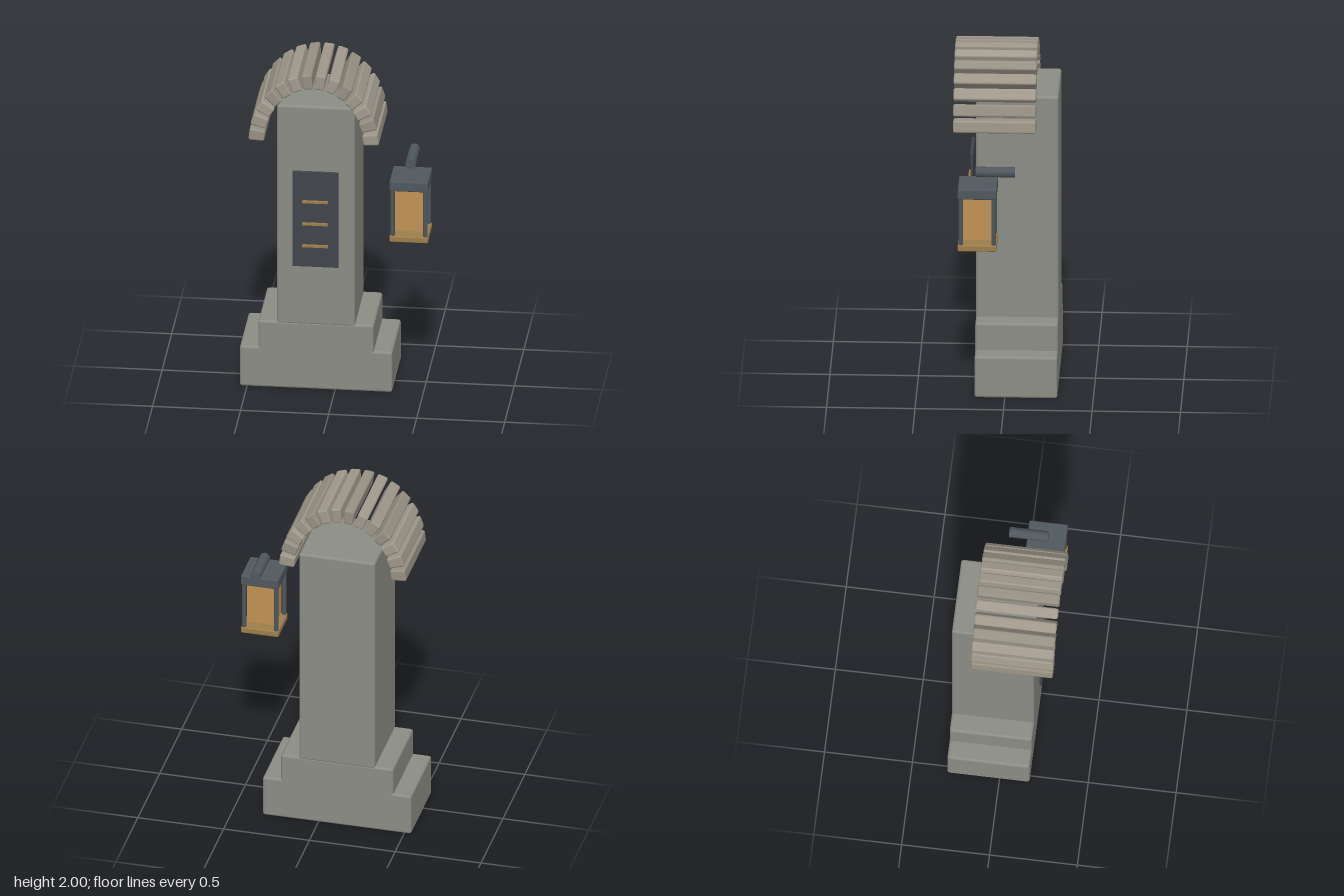
import * as THREE from 'three';
import { RoundedBoxGeometry } from 'three/addons/geometries/RoundedBoxGeometry.js';

const material = (color) => new THREE.MeshStandardMaterial({ color });

export function createModel() {
  const model = new THREE.Group();
  model.name = 'archedLanternPillar';
  const stone = material(0x8b8c84);
  const metal = material(0x50585e);
  const slate = material(0x41454c);
  const brass = material(0x9c7d4a);
  const glass = material(0xc09154);
  const archStones = [0x9d9689, 0x968f83, 0xa29a8e].map(material);

  function add(parent, name, geometry, mat, x, y, z) {
    const mesh = new THREE.Mesh(geometry, mat);
    mesh.name = name;
    mesh.position.set(x, y, z);
    parent.add(mesh);
    return mesh;
  }
  const block = (w, h, d, r) => new RoundedBoxGeometry(w, h, d, 2, r);

  // Stepped base and pillar share one centre line
  const cx = -0.108, cz = -0.063, depth = 0.468;
  add(model, 'base', block(0.866, 0.25, depth, 0.015), stone, cx, 0.125, cz);
  add(model, 'baseStep', block(0.656, 0.21, depth, 0.015), stone, cx, 0.307, cz);
  add(model, 'pillar', block(0.444, 1.355, depth, 0.015), stone, cx, 1.075, cz);

  // Arch of long stones set along a half ellipse, each slightly wedge-shaped
  const arch = new THREE.Group();
  arch.name = 'arch';
  arch.position.set(cx, 1.571, 0.061);
  model.add(arch);
  const count = 14, rx = 0.325, ry = 0.386;
  for (let i = 0; i < count; i++) {
    const t = ((i + 0.5) / count) * Math.PI;
    const spacing = Math.hypot(rx * Math.sin(t), ry * Math.cos(t)) * Math.PI / count;
    const geometry = block(0.09, spacing * 0.78, depth, 0.011);
    const p = geometry.attributes.position;
    for (let k = 0; k < p.count; k++) p.setY(k, p.getY(k) * (1 + p.getX(k) * 1.8));
    const voussoir = add(arch, 'archStone', geometry, archStones[i % 3],
      rx * Math.cos(t), ry * Math.sin(t), 0);
    voussoir.rotation.z = t;
  }

  // Plaque with three raised bars
  add(model, 'plaque', new THREE.BoxGeometry(0.26, 0.585, 0.016), slate, cx, 1.068, 0.198);
  for (const y of [1.18, 1.043, 0.907]) {
    add(model, 'plaqueBar', new THREE.BoxGeometry(0.145, 0.013, 0.018), brass, cx, y, 0.212);
  }

  // Lantern with its bracket rod
  const lantern = new THREE.Group();
  lantern.name = 'lantern';
  lantern.position.set(0.428, 0, 0.148);
  model.add(lantern);
  add(lantern, 'lanternRoof', block(0.22, 0.062, 0.22, 0.008), metal, 0, 1.319, 0);
  add(lantern, 'lanternBase', block(0.22, 0.038, 0.22, 0.008), brass, 0, 0.992, 0);
  add(lantern, 'lanternGlass', new THREE.BoxGeometry(0.16, 0.254, 0.16), glass, 0, 1.161, 0);
  for (const x of [-0.093, 0.093]) {
    for (const z of [-0.093, 0.093]) {
      add(lantern, 'lanternPost', new THREE.CylinderGeometry(0.013, 0.013, 0.29, 8), metal, x, 1.149, z);
    }
  }
  const rod = add(model, 'bracketRod', new THREE.CylinderGeometry(0.03, 0.03, 0.222, 10), metal, 0.428, 1.417, 0.049);
  rod.rotation.x = Math.PI / 2;

  return model;
}
